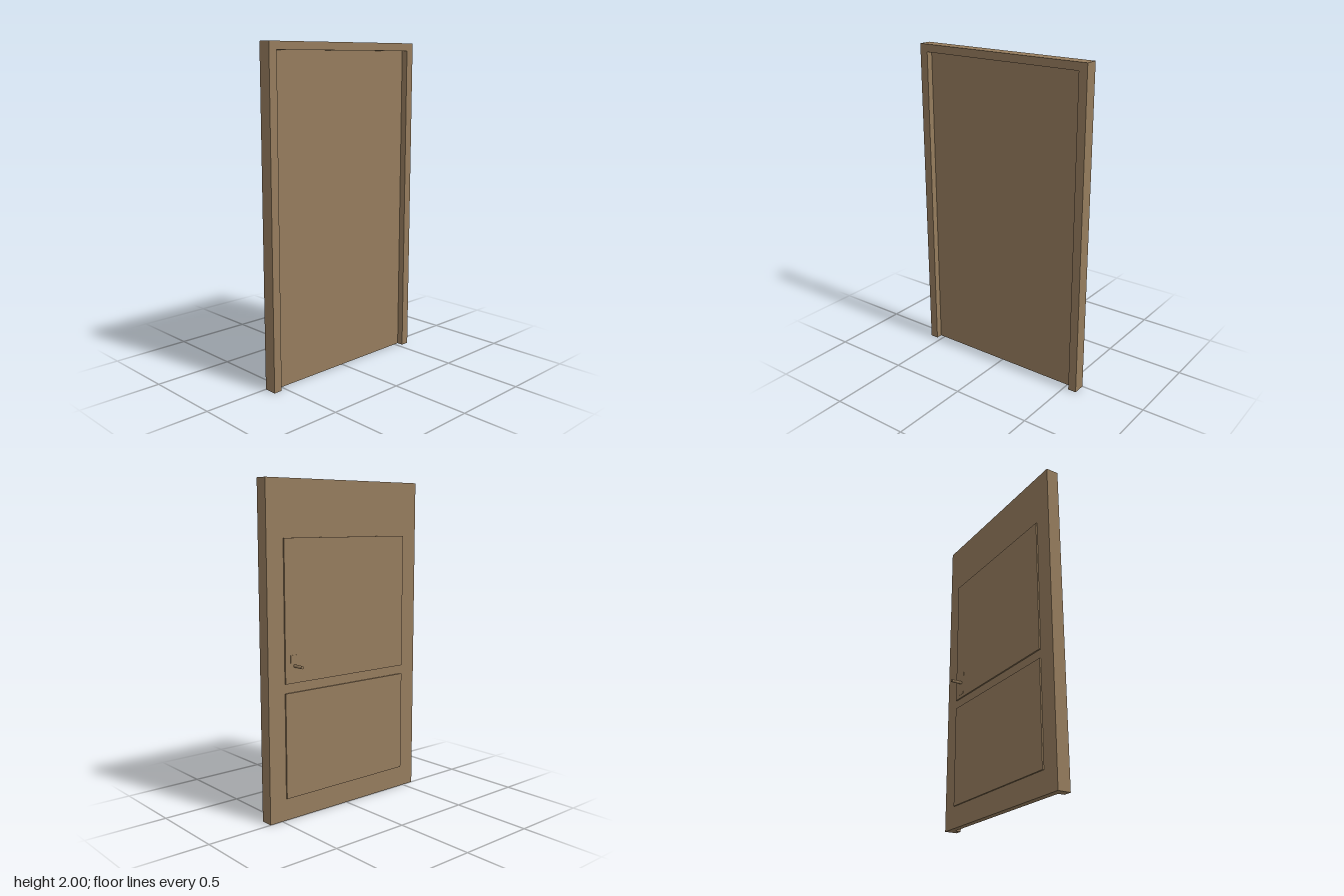
import * as THREE from 'three';

export function createModel() {
  const door = new THREE.Group();
  door.name = 'door';
  const wood = new THREE.MeshStandardMaterial({ color: 0x957c5d });
  wood.name = 'brown wood';

  function add(name, geometry, x = 0, y = 0, z = 0) {
    const mesh = new THREE.Mesh(geometry, wood);
    mesh.name = name;
    mesh.position.set(x, y, z);
    door.add(mesh);
    return mesh;
  }

  // Box given by its limits along each axis
  function slab(name, [x0, x1], [y0, y1], [z0, z1]) {
    return add(name, new THREE.BoxGeometry(x1 - x0, y1 - y0, z1 - z0),
      (x0 + x1) / 2, (y0 + y1) / 2, (z0 + z1) / 2);
  }

  // Surround: two jambs joined by a lintel, open at the floor
  const outline = [[-0.585, 0], [-0.532, 0], [-0.532, 1.953], [0.532, 1.953],
    [0.532, 0], [0.585, 0], [0.585, 2], [-0.585, 2]];
  const frameShape = new THREE.Shape(outline.map(([x, y]) => new THREE.Vector2(x, y)));
  add('frame', new THREE.ExtrudeGeometry(frameShape, { depth: 0.08, bevelEnabled: false }));

  // Leaf, flush with the back of the frame and recessed at the front
  slab('leaf', [-0.532, 0.532], [0, 1.953], [0, 0.04]);

  // Raised panels on the back
  slab('lowerPanel', [-0.469, 0.469], [0.135, 0.772], [-0.009, 0.01]);
  slab('upperPanel', [-0.469, 0.469], [0.828, 1.668], [-0.009, 0.01]);

  // Lock plate and handle
  slab('lockPlate', [0.375, 0.432], [0.85, 0.995], [-0.0105, 0]);
  const handle = add('handle', new THREE.CylinderGeometry(0.0095, 0.0095, 0.082, 12), 0.403, 0.93, -0.041);
  handle.rotation.x = Math.PI / 2;

  return door;
}
